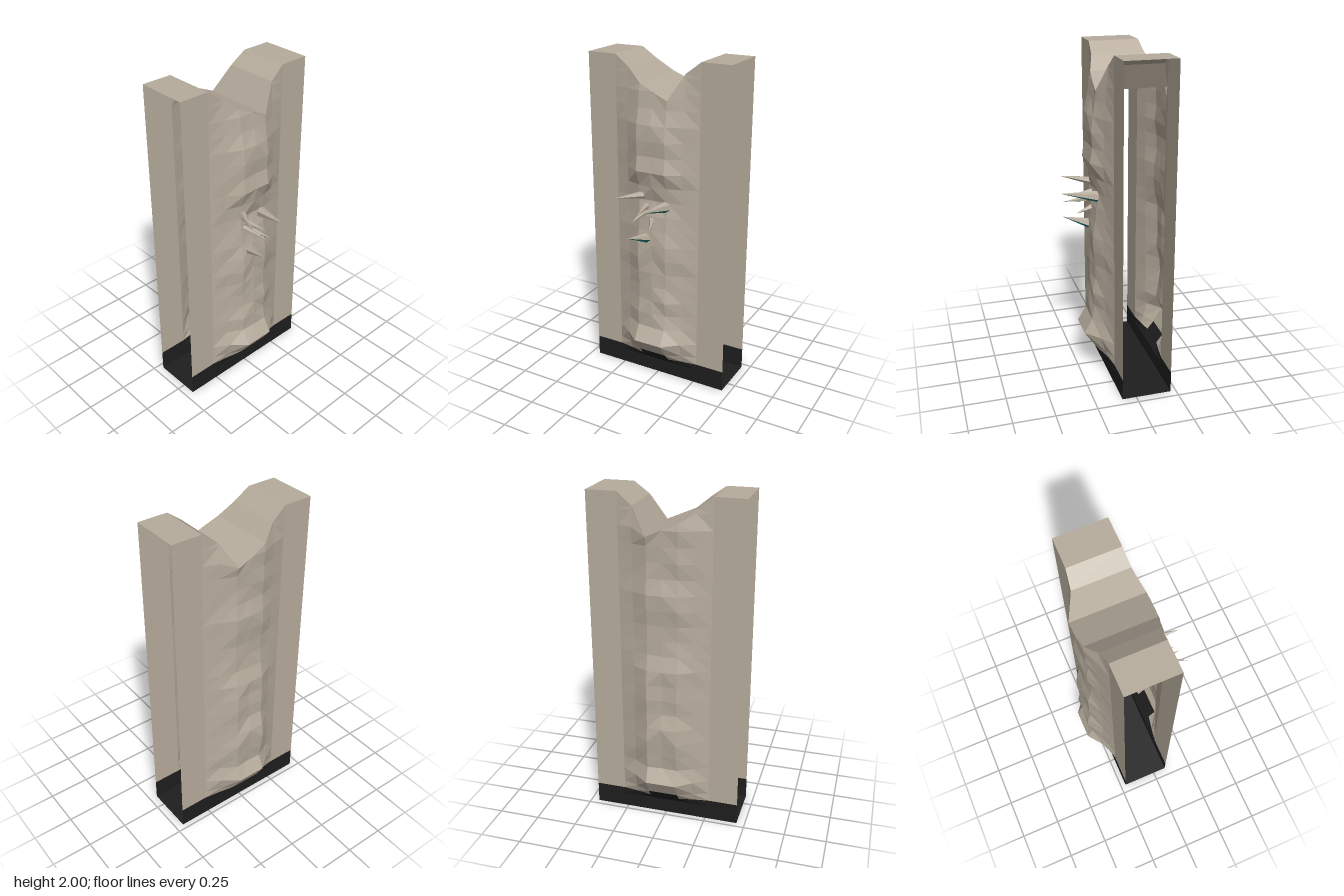
import * as THREE from 'three';

const mat = (name, color) => {
  const m = new THREE.MeshStandardMaterial({ color, flatShading: true, side: THREE.DoubleSide });
  m.name = name;
  return m;
};

// Small repeatable noise, 0..1
const noise = (a, b, c) => {
  const s = Math.sin(a * 12.99 + b * 78.23 + c * 37.7) * 43758.55;
  return s - Math.floor(s);
};

// Piecewise-linear lookup through [input, output] pairs
const lookup = (pairs, t) => {
  for (let i = 1; i < pairs.length; i++) {
    const [a, va] = pairs[i - 1], [b, vb] = pairs[i];
    if (t <= b) return va + (vb - va) * Math.max(0, (t - a) / (b - a));
  }
  return pairs[pairs.length - 1][1];
};

const COLS = [-0.45, -0.27, -0.18, -0.09, 0, 0.09, 0.18, 0.27, 0.45];
const ROWS = [0, 0.13];
for (let i = 1; i <= 22; i++) ROWS.push(i * 2 / 22);
ROWS.sort((a, b) => a - b);

// Notched top edge and the outward bulge of each wall
const TOP = [[-0.27, 2], [-0.18, 1.935], [-0.09, 1.86], [0.09, 1.78], [0.18, 1.93], [0.27, 2]];
const ACROSS = [[0, 1], [0.09, 1], [0.18, 0.43], [0.27, 0]];
const FRONT = [[0.091, 0], [0.18, 0.075], [0.275, 0.14], [0.365, 0.093], [0.55, 0.085], [0.73, 0.08], [0.82, 0.09],
  [1, 0.08], [1.18, 0.056], [1.27, 0.072], [1.36, 0.095], [1.45, 0.088], [1.6, 0.1], [1.73, 0.064], [1.82, 0.05], [2, 0]];
const BACK = [[0.091, 0], [0.18, 0.07], [0.275, 0.125], [0.365, 0.09], [0.55, 0.117], [0.73, 0.1], [0.85, 0.102],
  [1, 0.085], [1.18, 0.062], [1.36, 0.08], [1.43, 0.085], [1.5, 0.06], [1.6, 0.07], [1.83, 0.075], [2, 0]];

const topAt = (x) => lookup(TOP, x);
function wallPoint(side, x, row) {
  const top = topAt(x), y = Math.min(row, top);
  let b = lookup(side > 0 ? FRONT : BACK, y) * lookup(ACROSS, Math.abs(x));
  if (row < top && row > 0.3) b *= 1 - 0.22 * noise(x * 10, row * 10, side);
  return [x, y, side > 0 ? 0.085 + b : -0.217 - b];
}

// Grid surface; colorAt picks the material index for each cell
function grid(us, vs, point, flip, colorAt) {
  const pos = [], geo = new THREE.BufferGeometry();
  for (let j = 0; j < vs.length - 1; j++) {
    for (let i = 0; i < us.length - 1; i++) {
      const a = point(us[i], vs[j]), b = point(us[i + 1], vs[j]);
      const c = point(us[i + 1], vs[j + 1]), d = point(us[i], vs[j + 1]);
      const tris = us[i] < 0 ? [a, b, c, a, c, d] : [a, b, d, b, c, d];
      if (flip) tris.reverse();
      geo.addGroup(pos.length / 3, 6, colorAt((us[i] + us[i + 1]) / 2, (vs[j] + vs[j + 1]) / 2));
      tris.forEach((p) => pos.push(...p));
    }
  }
  geo.setAttribute('position', new THREE.Float32BufferAttribute(pos, 3));
  geo.computeVertexNormals();
  return geo;
}

// Faceted spike whose downward faces take the second material
function spikeGeometry(base, tip, radius) {
  const a = new THREE.Vector3(...base), dir = new THREE.Vector3(...tip).sub(a);
  const len = dir.length();
  const geo = new THREE.ConeGeometry(radius, len, 6).toNonIndexed();
  geo.translate(0, len / 2, 0);
  geo.applyQuaternion(new THREE.Quaternion().setFromUnitVectors(new THREE.Vector3(0, 1, 0), dir.normalize()));
  geo.translate(a.x, a.y, a.z);
  geo.computeVertexNormals();
  geo.clearGroups();
  const n = geo.attributes.normal;
  for (let i = 0; i < n.count; i += 3) geo.addGroup(i, 3, n.getY(i) < -0.6 ? 1 : 0);
  return geo;
}

export function createModel() {
  const group = new THREE.Group();
  const stone = mat('stone', 0xb7ac9d), dark = mat('darkBase', 0x1e1e1e), teal = mat('teal', 0x1f7f80);
  const add = (name, geo, material) => {
    const m = new THREE.Mesh(geo, material);
    m.name = name;
    group.add(m);
  };

  // Front and back walls with a dark foot that steps up in the middle
  const wallColor = (x, y) => (y < 0.13 || (y < 0.18 && Math.abs(x) < 0.09) ? 1 : 0);
  for (const [name, side] of [['frontWall', 1], ['backWall', -1]]) {
    add(name, grid(COLS, ROWS, (x, y) => wallPoint(side, x, y), side < 0, wallColor), [stone, dark]);
  }

  // Notched top strip joining the walls; the two ends stay open
  add('topNotch', grid(COLS, [1, -1], (x, s) => wallPoint(s, x, 2), false, () => 0), [stone]);

  // Floor
  const floor = new THREE.PlaneGeometry(0.9, 0.302);
  floor.rotateX(Math.PI / 2);
  floor.translate(0, 0, -0.066);
  add('floor', floor, dark);

  // Cluster of spikes on the front: base, tip, radius
  const spikes = [
    [[-0.07, 1.208, 0.13], [-0.16, 1.225, 0.305], 0.024],
    [[0.078, 1.158, 0.13], [0.05, 1.185, 0.343], 0.034],
    [[-0.05, 1.145, 0.13], [-0.02, 1.14, 0.283], 0.022],
    [[-0.06, 1.105, 0.13], [-0.042, 1.1, 0.313], 0.024],
    [[-0.01, 1.068, 0.13], [0.04, 1.05, 0.25], 0.022],
    [[-0.03, 0.945, 0.13], [-0.072, 0.995, 0.31], 0.034],
  ];
  for (const s of spikes) add('spike', spikeGeometry(...s), [stone, teal]);

  return group;
}
